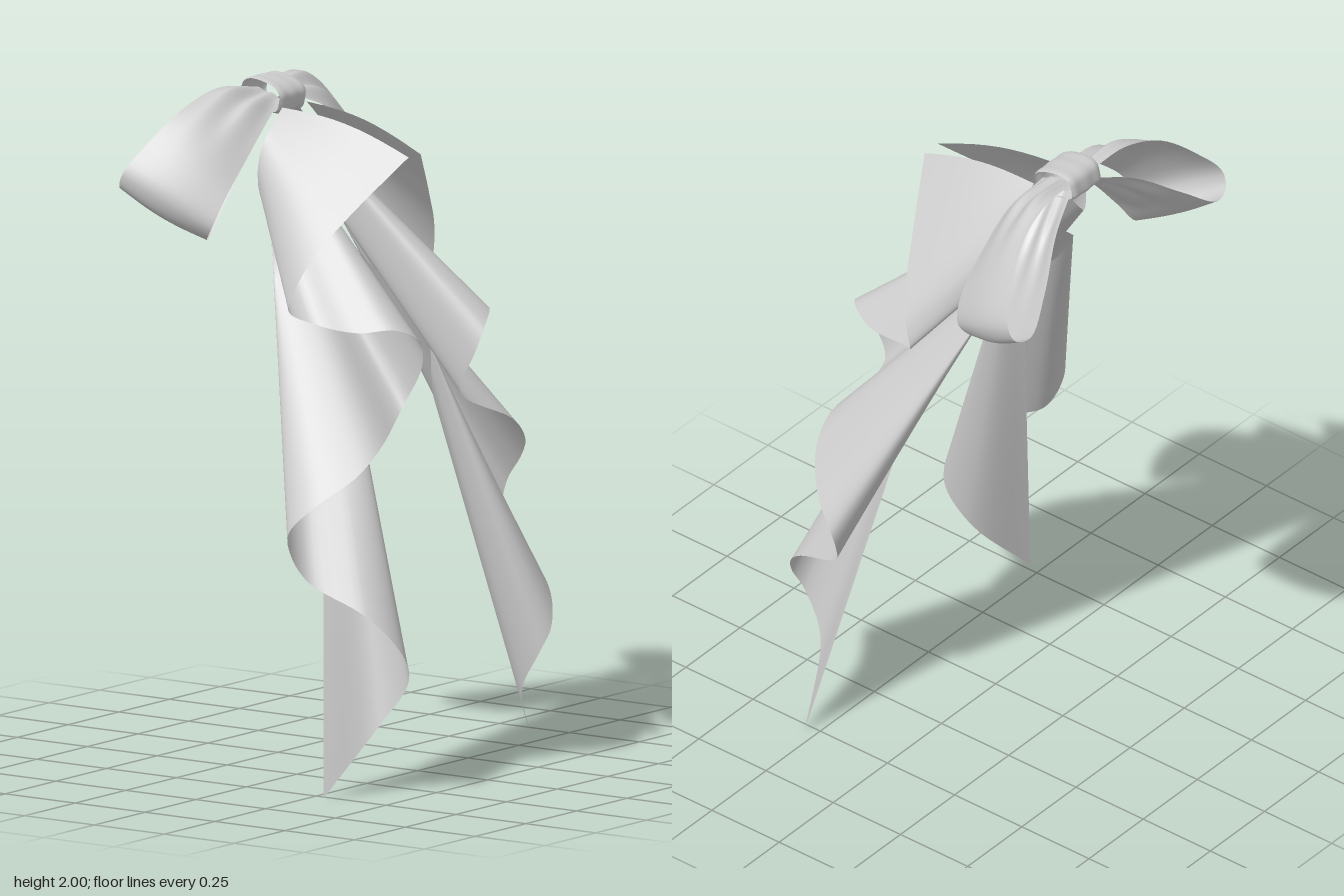
import * as THREE from 'three';

const material = new THREE.MeshStandardMaterial({ color: 0xcccccc, side: THREE.DoubleSide });

// Smooth sheet through fn(u, v) -> [x, y, z]
function sheet(name, fn, nu, nv) {
  const pos = [], index = [];
  for (let i = 0; i <= nu; i++) {
    for (let j = 0; j <= nv; j++) {
      pos.push(...fn(i / nu, j / nv));
      if (i < nu && j < nv) {
        const a = i * (nv + 1) + j, b = a + nv + 1;
        index.push(a, b, a + 1, b, b + 1, a + 1);
      }
    }
  }
  const geo = new THREE.BufferGeometry();
  geo.setAttribute('position', new THREE.Float32BufferAttribute(pos, 3));
  geo.setIndex(index);
  geo.computeVertexNormals();
  const mesh = new THREE.Mesh(geo, material);
  mesh.name = name;
  return mesh;
}

// Each row pairs a point on one ribbon edge with a point on the other
function edges(rows) {
  const curve = (k) => new THREE.CatmullRomCurve3(
    rows.map((r) => new THREE.Vector3(r[k], r[k + 1], r[k + 2])), false, 'centripetal');
  return [curve(0), curve(3)];
}

// Bow loop: out along the top, round the end, back underneath
const loopRows = [
  [-0.318, 1.96, 0.04, -0.21, 1.935, 0.04],
  [-0.335, 1.975, 0.18, -0.178, 1.88, 0.16],
  [-0.36, 1.93, 0.32, -0.17, 1.78, 0.28],
  [-0.405, 1.84, 0.43, -0.172, 1.69, 0.37],
  [-0.445, 1.76, 0.495, -0.19, 1.61, 0.41],
  [-0.465, 1.715, 0.485, -0.225, 1.57, 0.385],
  [-0.478, 1.705, 0.43, -0.24, 1.572, 0.35],
  [-0.44, 1.78, 0.32, -0.235, 1.68, 0.265],
  [-0.37, 1.88, 0.18, -0.23, 1.82, 0.15],
  [-0.315, 1.935, 0.04, -0.22, 1.92, 0.04],
];

// Tail: lower free edge and the tucked-in edge it hangs from
const tailRows = [
  [0.24, 1.81, 0.03, -0.19, 1.915, 0.06],
  [0.155, 1.66, 0.19, -0.19, 1.88, 0.10],
  [0.10, 1.55, 0.29, -0.19, 1.83, 0.15],
  [0.06, 1.45, 0.34, -0.19, 1.76, 0.18],
  [0.04, 1.38, 0.345, -0.19, 1.69, 0.175],
  [0.10, 1.345, 0.305, -0.20, 1.72, 0.14],
  [0.24, 1.33, 0.285, -0.19, 1.78, 0.10],
  [0.34, 1.34, 0.23, -0.17, 1.81, 0.08],
  [0.375, 1.30, 0.16, -0.16, 1.80, 0.07],
  [0.36, 1.22, 0.13, -0.16, 1.75, 0.07],
  [0.30, 1.10, 0.14, -0.17, 1.68, 0.08],
  [0.35, 1.00, 0.33, -0.17, 1.65, 0.10],
  [0.33, 0.93, 0.42, -0.17, 1.63, 0.12],
  [0.25, 0.85, 0.51, -0.17, 1.61, 0.14],
  [0.18, 0.77, 0.54, -0.16, 1.59, 0.16],
  [0.175, 0.70, 0.52, -0.14, 1.55, 0.17],
  [0.21, 0.62, 0.48, -0.07, 1.45, 0.18],
  [0.37, 0.54, 0.44, 0.03, 1.38, 0.18],
  [0.44, 0.47, 0.40, 0.10, 1.32, 0.18],
  [0.47, 0.39, 0.355, 0.14, 1.25, 0.19],
  [0.45, 0.32, 0.325, 0.15, 1.20, 0.20],
  [0.37, 0.20, 0.35, 0.14, 1.12, 0.22],
  [0.29, 0.0, 0.52, 0.11, 1.05, 0.27],
];

export function createModel() {
  const group = new THREE.Group();
  const [loopA, loopB] = edges(loopRows);
  const [tailA, tailB] = edges(tailRows);

  for (const side of [1, -1]) {
    const label = side > 0 ? 'front' : 'back';

    // Loop with a rounded back and gathers fading toward the knot and the end
    group.add(sheet(label + 'Loop', (u, v) => {
      const p = loopA.getPoint(u).lerp(loopB.getPoint(u), v);
      const out = Math.cos(Math.PI * u), arch = Math.sin(Math.PI * v);
      const along = 1 - Math.abs(2 * u - 1);
      const pleat = 0.014 * Math.exp(-Math.pow((along - 0.22) * 5, 2)) * Math.cos(v * Math.PI * 4) * arch;
      p.y += out * ((0.008 + 0.02 * Math.min(1, along * 4)) * arch - pleat);
      p.z += 0.012 * arch * Math.sin(Math.PI * u);
      return [p.x, p.y, side * p.z];
    }, 54, 28));

    // Spiralling tail, its top panel slightly arched
    group.add(sheet(label + 'Tail', (u, v) => {
      const p = tailA.getPoint(u).lerp(tailB.getPoint(u), v);
      p.y += 0.025 * Math.sin(Math.PI * v) * Math.max(0, 1 - 8 * u);
      return [p.x, p.y, side * p.z];
    }, 132, 10));
  }

  // Knot: a soft tilted band with rolled-in rims
  const tilt = -0.22, power = (c) => Math.sign(c) * Math.pow(Math.abs(c), 0.55);
  group.add(sheet('knot', (u, v) => {
    const a = u * Math.PI * 2, s = v * 2 - 1;
    const r = 1 - 0.1 * Math.pow(Math.abs(s), 8) + 0.015 * Math.cos(s * 7);
    const x = 0.076 * r * power(Math.cos(a)), y = 0.042 * r * power(Math.sin(a));
    return [
      -0.267 + x * Math.cos(tilt) - y * Math.sin(tilt),
      1.949 + x * Math.sin(tilt) + y * Math.cos(tilt) - 2 * x * x,
      -s * 0.065,
    ];
  }, 48, 16));

  return group;
}
